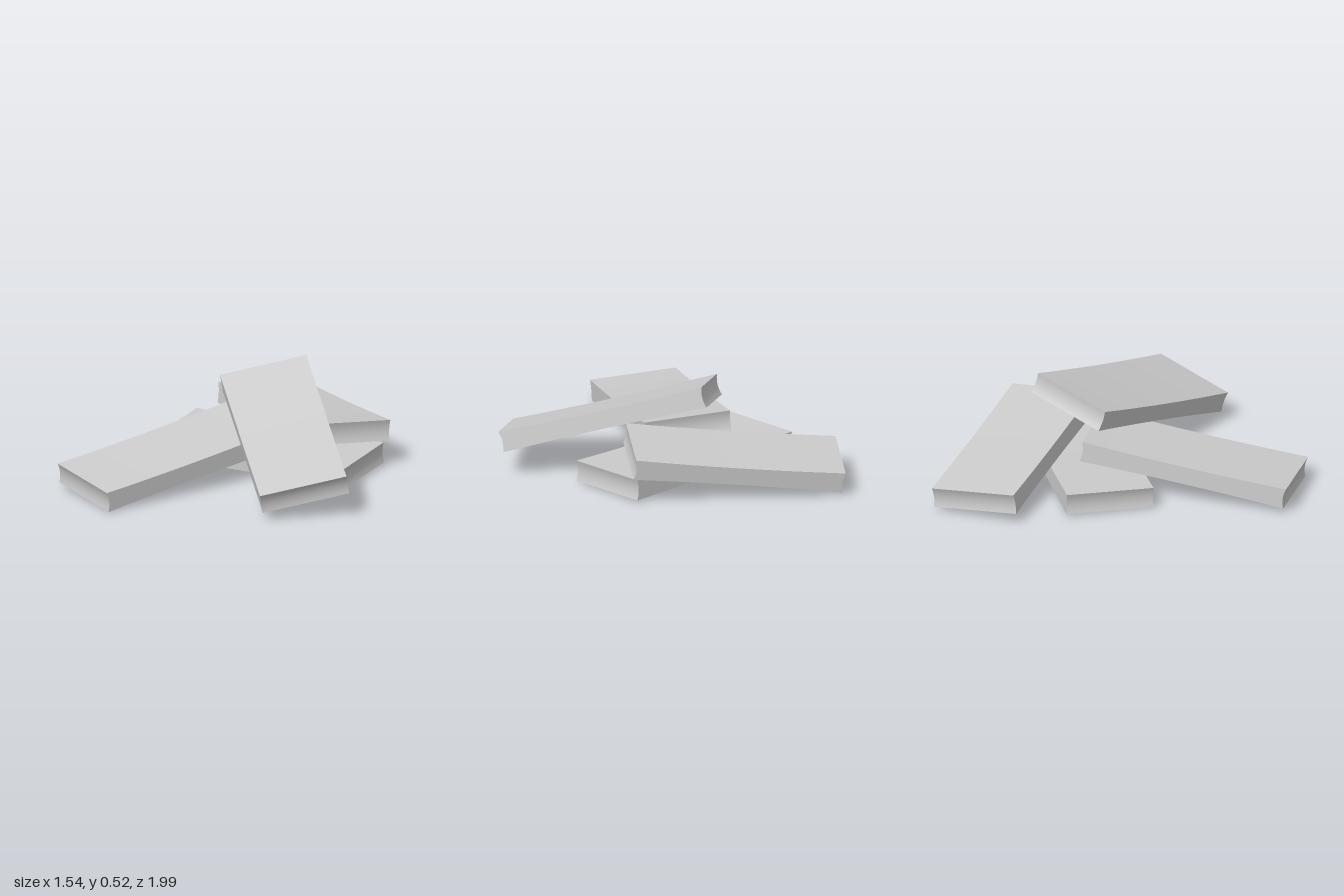
import * as THREE from 'three';
import { toCreasedNormals } from 'three/addons/utils/BufferGeometryUtils.js';

const LENGTH = 1.1, WIDTH = 0.46, THICK = 0.11;

// Plank: slightly hollow side profile extruded across the width
function plankGeometry() {
  const l = LENGTH / 2, t = THICK / 2;
  const s = new THREE.Shape();
  s.moveTo(-l, -t);
  s.quadraticCurveTo(0, -t + 0.016, l, -t);
  s.quadraticCurveTo(l - 0.02, 0, l, t);
  s.quadraticCurveTo(0, t - 0.016, -l, t);
  s.quadraticCurveTo(-l + 0.02, 0, -l, -t);
  const g = new THREE.ExtrudeGeometry(s, { depth: WIDTH, bevelEnabled: false, curveSegments: 8 });
  g.translate(0, 0, -WIDTH / 2);
  return toCreasedNormals(g, 0.6);
}

export function createModel() {
  const group = new THREE.Group();
  const geometry = plankGeometry();
  const material = new THREE.MeshStandardMaterial({ color: 0xcccccc });

  // Each plank: one top corner, then the edges along its length and width
  const planks = [
    ['basePlank', [-0.55, 0.13, -0.335], [1.1, 0, 0], [0, -0.01, 0.455]],
    ['backPlank', [-0.31, 0.13, -1.0], [0.885, 0.12, 0.64], [-0.27, 0.045, 0.37]],
    ['frontPlank', [-0.77, 0.14, 0.775], [0.52, 0.14, -0.965], [0.405, -0.025, 0.22]],
    ['topPlank', [0.095, 0.53, -0.335], [0.67, -0.29, 0.81], [-0.36, -0.085, 0.27]],
  ];

  for (const [name, corner, along, across] of planks) {
    const a = new THREE.Vector3(...along), b = new THREE.Vector3(...across);
    const x = a.clone().normalize();
    const y = new THREE.Vector3().crossVectors(b, a).normalize();
    if (y.y < 0) y.negate();
    const z = new THREE.Vector3().crossVectors(x, y);
    const mesh = new THREE.Mesh(geometry, material);
    mesh.name = name;
    mesh.quaternion.setFromRotationMatrix(new THREE.Matrix4().makeBasis(x, y, z));
    mesh.position.set(...corner)
      .addScaledVector(a, 0.5)
      .addScaledVector(b, 0.5)
      .addScaledVector(y, -THICK / 2);
    group.add(mesh);
  }
  return group;
}
